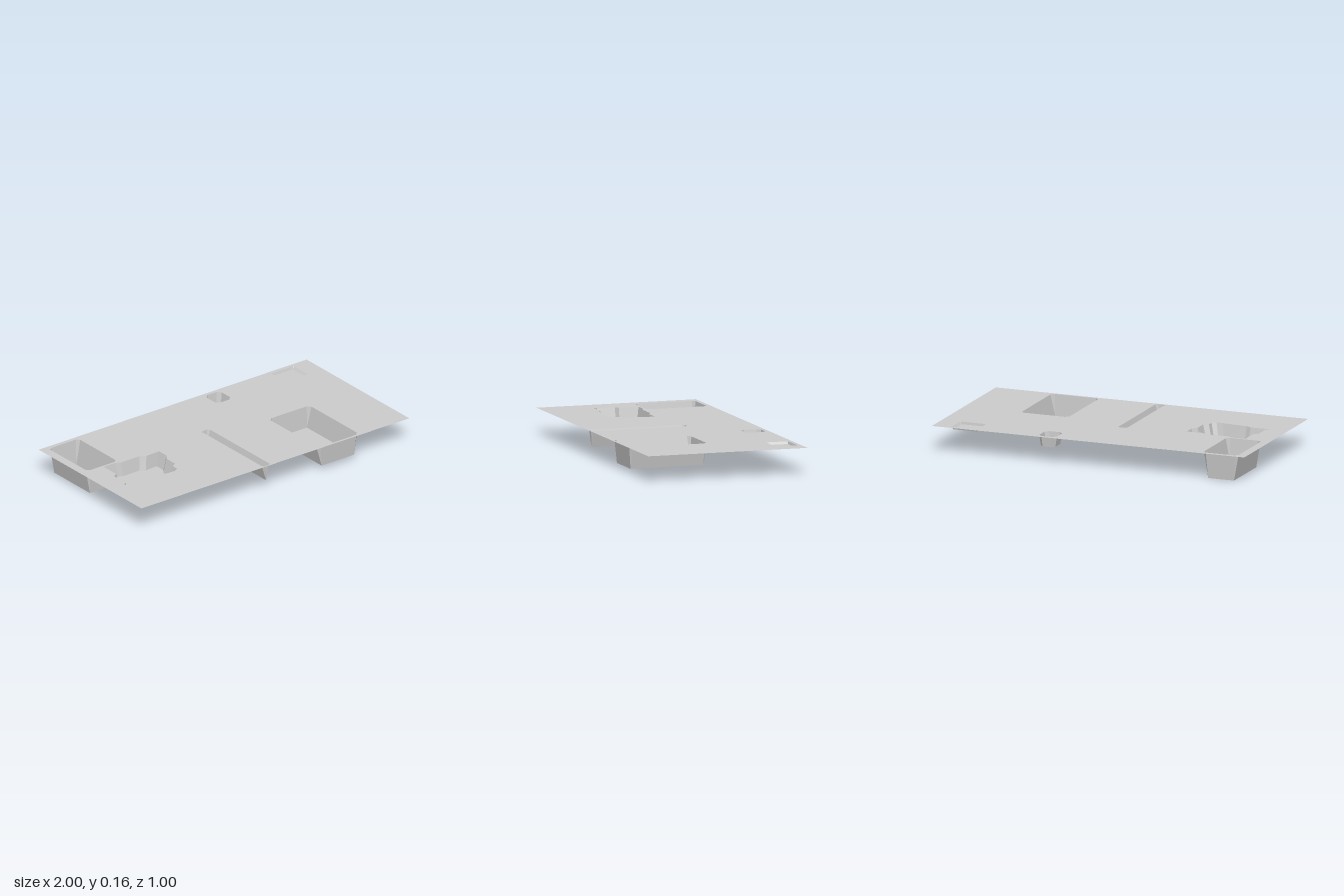
import * as THREE from 'three';

const TOP = 0.159;
const mat = new THREE.MeshStandardMaterial({ color: 0xcccccc, flatShading: true, side: THREE.DoubleSide });

// rectangle with cut corners as 8 [x, z] points; c = 0 doubles each corner
function cutRect(x0, x1, z0, z1, c) {
  return [
    [x0, z0 + c], [x0 + c, z0], [x1 - c, z0], [x1, z0 + c],
    [x1, z1 - c], [x1 - c, z1], [x0 + c, z1], [x0, z1 - c],
  ];
}

const toVectors = (pts) => pts.map(([x, z]) => new THREE.Vector2(x, -z));

// flat horizontal sheet from an outline, with optional holes
function sheet(name, outline, y, holes = []) {
  const shape = new THREE.Shape(toVectors(outline));
  shape.holes = holes.map((h) => new THREE.Path(toVectors(h)));
  const geo = new THREE.ShapeGeometry(shape).rotateX(-Math.PI / 2).translate(0, y, 0);
  const mesh = new THREE.Mesh(geo, mat);
  mesh.name = name;
  return mesh;
}

// sloping walls joining the rim to the floor outline, facing into the pit
function walls(rim, base, y) {
  const pos = [];
  rim.forEach((a, i) => {
    const j = (i + 1) % rim.length;
    const b = rim[j], c = base[i], d = base[j];
    pos.push(a[0], TOP, a[1], c[0], y, c[1], b[0], TOP, b[1]);
    if (c[0] !== d[0] || c[1] !== d[1]) {
      pos.push(b[0], TOP, b[1], c[0], y, c[1], d[0], y, d[1]);
    }
  });
  const geo = new THREE.BufferGeometry();
  geo.setAttribute('position', new THREE.Float32BufferAttribute(pos, 3));
  geo.computeVertexNormals();
  const mesh = new THREE.Mesh(geo, mat);
  mesh.name = 'walls';
  return mesh;
}

// irregular pond rim
const pondRim = [
  [-0.835, -0.083], [-0.75, -0.083], [-0.72, -0.067], [-0.58, -0.067], [-0.545, -0.045],
  [-0.447, -0.05], [-0.447, 0.024], [-0.474, 0.056], [-0.474, 0.142], [-0.505, 0.158],
  [-0.505, 0.2], [-0.53, 0.217], [-0.57, 0.217], [-0.73, 0.2], [-0.762, 0.184],
  [-0.89, 0.184], [-0.863, 0.168], [-0.863, 0.056], [-0.835, 0.04],
];
const pondFloor = pondRim.map(([x, z]) => [-0.668 + (x + 0.668) * 0.88, 0.067 + (z - 0.067) * 0.89]);

// each pit: name, rim outline, floor outline, floor height
const PITS = [
  ['deepPit', cutRect(-0.946, -0.724, -0.474, -0.096, 0.018), cutRect(-0.917, -0.752, -0.457, -0.11, 0), 0],
  ['widePit', cutRect(0.332, 0.636, 0.002, 0.485, 0.02), cutRect(0.365, 0.608, 0.015, 0.474, 0), 0.026],
  ['pond', pondRim, pondFloor, 0.073],
  ['smallPit', cutRect(0.218, 0.331, -0.476, -0.351, 0.022), cutRect(0.23, 0.322, -0.467, -0.356, 0.018), 0.093],
  ['shallowTray', cutRect(0.72, 0.886, -0.476, -0.337, 0.004), cutRect(0.73, 0.874, -0.471, -0.339, 0), 0.144],
  ['trench', cutRect(-0.087, -0.03, -0.108, 0.493, 0.012), cutRect(-0.0585, -0.0585, -0.098, 0.485, 0), 0.06],
];

export function createModel() {
  const model = new THREE.Group();
  model.name = 'groundWithPits';

  // ground sheet with an opening for every pit
  model.add(sheet('ground', cutRect(-1, 1, -0.5, 0.5, 0).filter((_, i) => i % 2), TOP, PITS.map((p) => p[1])));

  for (const [name, rim, base, y] of PITS) {
    const pit = new THREE.Group();
    pit.name = name;
    pit.add(walls(rim, base, y));
    // the trench narrows to a line, so it has no floor
    if (name !== 'trench') {
      const outline = base.filter((p, i) => {
        const q = base[(i + 1) % base.length];
        return p[0] !== q[0] || p[1] !== q[1];
      });
      pit.add(sheet('floor', outline, y));
    }
    model.add(pit);
  }
  return model;
}
